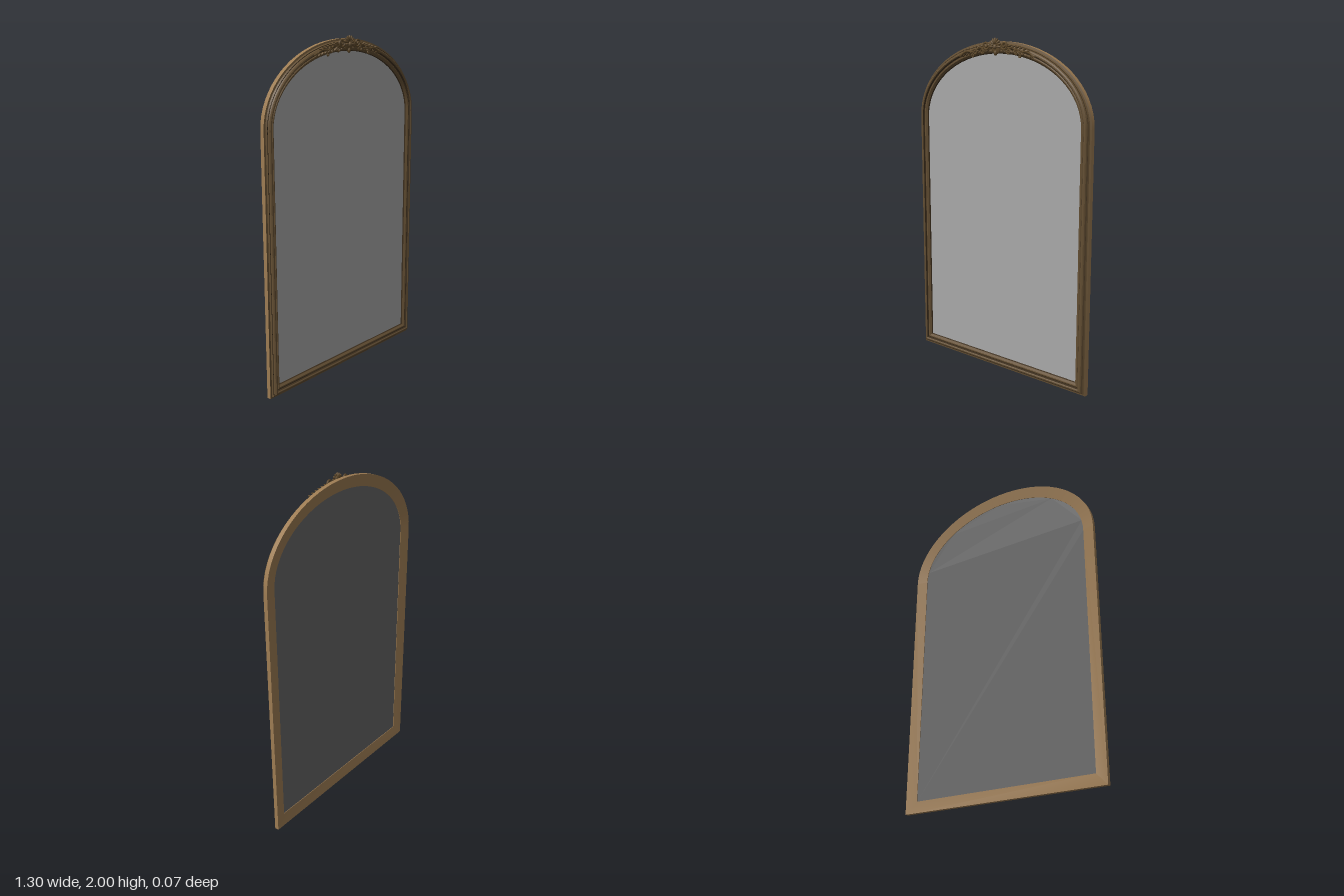
import * as THREE from 'three';
import { toCreasedNormals } from 'three/addons/utils/BufferGeometryUtils.js';

const mat = (name, color, side = THREE.FrontSide) => {
  const m = new THREE.MeshStandardMaterial({ color, side });
  m.name = name;
  return m;
};

const HALF = 0.65, SPRING = 1.52, RISE = 0.46;

// Arched outline, moved inward by t, counter-clockwise from the lower left corner
function outline(t, arcSteps = 36) {
  const pts = [[-(HALF - t), t], [HALF - t, t]];
  for (let i = 0; i <= arcSteps; i++) {
    const a = Math.PI * i / arcSteps;
    pts.push([(HALF - t) * Math.cos(a), SPRING + (RISE - t) * Math.sin(a)]);
  }
  return pts;
}

// Frame surface swept between successive section points [inset, z]
function sweep(section) {
  const pos = [];
  for (let j = 0; j < section.length - 1; j++) {
    const [t0, z0] = section[j], [t1, z1] = section[j + 1];
    const p = outline(t0), q = outline(t1);
    for (let i = 0; i < p.length; i++) {
      const k = (i + 1) % p.length;
      const a = [...p[i], z0], b = [...p[k], z0], c = [...q[k], z1], d = [...q[i], z1];
      pos.push(...a, ...b, ...c, ...a, ...c, ...d);
    }
  }
  const g = new THREE.BufferGeometry();
  g.setAttribute('position', new THREE.Float32BufferAttribute(pos, 3));
  return toCreasedNormals(g, 0.5);
}

// Height of the arch at x, for a line inset by t
const archY = (x, t) => SPRING + (RISE - t) * Math.sqrt(1 - (x / (HALF - t)) ** 2);

export function createModel() {
  const group = new THREE.Group();
  const gold = mat('pale gold', 0x9c7b52);
  const bronze = mat('dark bronze', 0x644f33);
  const groove = mat('groove brown', 0x3c2e1d);
  const carved = mat('carved bronze', 0x5c4729);
  const mirror = mat('mirror grey', 0xa8a8a8);
  const backing = mat('backing grey', 0x656565);

  const add = (parent, name, geometry, material) => {
    const m = new THREE.Mesh(geometry, material);
    m.name = name;
    parent.add(m);
    return m;
  };

  // Frame body: bevelled back and straight outer edge
  add(group, 'frameBack', sweep([[0.07, -0.012], [0.07, -0.022], [0, -0.035], [0, -0.01]]), gold);
  // Front moulding, from the outer edge inward
  add(group, 'outerStep', sweep([[0, -0.01], [0.01, -0.007], [0.014, 0.002]]), bronze);
  add(group, 'outerGroove', sweep([[0.014, 0.002], [0.018, 0.002]]), groove);
  add(group, 'mainMoulding', sweep([[0.018, 0.002], [0.021, 0.01], [0.027, 0.015], [0.034, 0.016], [0.039, 0.012]]), bronze);
  add(group, 'innerGroove', sweep([[0.039, 0.012], [0.042, 0.003], [0.046, 0.003]]), groove);
  add(group, 'innerMoulding', sweep([[0.046, 0.003], [0.05, 0.007], [0.056, 0.006], [0.066, -0.004]]), bronze);
  add(group, 'innerLip', sweep([[0.066, -0.004], [0.07, -0.012]]), groove);

  // Mirror pane and its backing
  const pane = new THREE.ShapeGeometry(
    new THREE.Shape(outline(0.069).map(([x, y]) => new THREE.Vector2(x, y))));
  add(group, 'mirrorPane', pane, mirror).position.z = -0.011;
  const back = add(group, 'mirrorBacking', pane, backing);
  back.position.z = -0.019;
  back.rotation.y = Math.PI;

  // Carved crest
  const crest = new THREE.Group();
  crest.name = 'crest';
  group.add(crest);
  const ball = new THREE.SphereGeometry(1, 10, 8);
  const leaf = (name, x, y, z, len, wid, dep, angle, material = carved) => {
    const m = add(crest, name, ball, material);
    m.position.set(x, y, z);
    m.scale.set(len, wid, dep);
    m.rotation.z = angle;
  };
  const scroll = (name, side, x, y, z, r, turns, start, tube) => {
    const pts = [];
    for (let i = 0; i <= 20; i++) {
      const a = start + i / 20 * turns * Math.PI * 2, q = r * (1 - 0.75 * i / 20);
      pts.push(new THREE.Vector3(side * (x + q * Math.cos(a)), y + q * Math.sin(a), z));
    }
    add(crest, name, new THREE.TubeGeometry(new THREE.CatmullRomCurve3(pts), 28, tube, 6), carved);
  };

  // Central shell with a fan of petals around a boss
  leaf('shellBase', 0, 1.948, 0.012, 0.036, 0.042, 0.01, 0);
  for (let i = 0; i < 9; i++) {
    const a = Math.PI / 2 + (i - 4) * 0.42;
    leaf('shellPetal', 0.027 * Math.cos(a), 1.952 + 0.03 * Math.sin(a), 0.022,
      0.018, 0.0075, 0.009, a, i % 2 ? carved : bronze);
  }
  leaf('shellBoss', 0, 1.948, 0.024, 0.012, 0.014, 0.011, 0, bronze);
  leaf('shellTip', 0, 1.914, 0.018, 0.01, 0.015, 0.01, 0);

  // Scrolls and leaves trailing down both sides of the arch
  for (const s of [-1, 1]) {
    scroll('largeScroll', s, 0.068, 1.956, 0.022, 0.025, 1.4, Math.PI, 0.0065);
    scroll('lowerScroll', s, 0.098, 1.925, 0.02, 0.019, 1.3, 2, 0.0055);
    scroll('outerScroll', s, 0.155, 1.918, 0.019, 0.018, 1.3, 0.5, 0.005);
    scroll('endCurl', s, 0.178, 1.896, 0.016, 0.01, 1.1, 1, 0.004);
    // Stem following the arch
    const stem = [];
    for (let i = 0; i <= 8; i++) {
      const x = 0.03 + i * 0.031;
      stem.push(new THREE.Vector3(s * x, archY(x, 0.036 + 0.008 * Math.sin(i * 1.7)), 0.017));
    }
    add(crest, 'stem', new THREE.TubeGeometry(new THREE.CatmullRomCurve3(stem), 24, 0.006, 6), carved);
    for (let i = 0; i < 8; i++) {
      const x = 0.05 + i * 0.027, size = 1 - i * 0.06;
      const slope = -s * (0.1 + x * 0.9);
      leaf('upperLeaf', s * x, archY(x, 0.02), 0.018, 0.018 * size, 0.007 * size, 0.009,
        slope + s * 0.5, i % 2 ? bronze : carved);
      leaf('lowerLeaf', s * (x + 0.01), archY(x, 0.05), 0.016, 0.017 * size, 0.0065 * size, 0.008,
        slope - s * 0.5, i % 2 ? carved : bronze);
    }
    leaf('endLeaf', s * 0.268, archY(0.268, 0.035), 0.015, 0.022, 0.007, 0.007, -s * 0.33);
  }
  return group;
}
